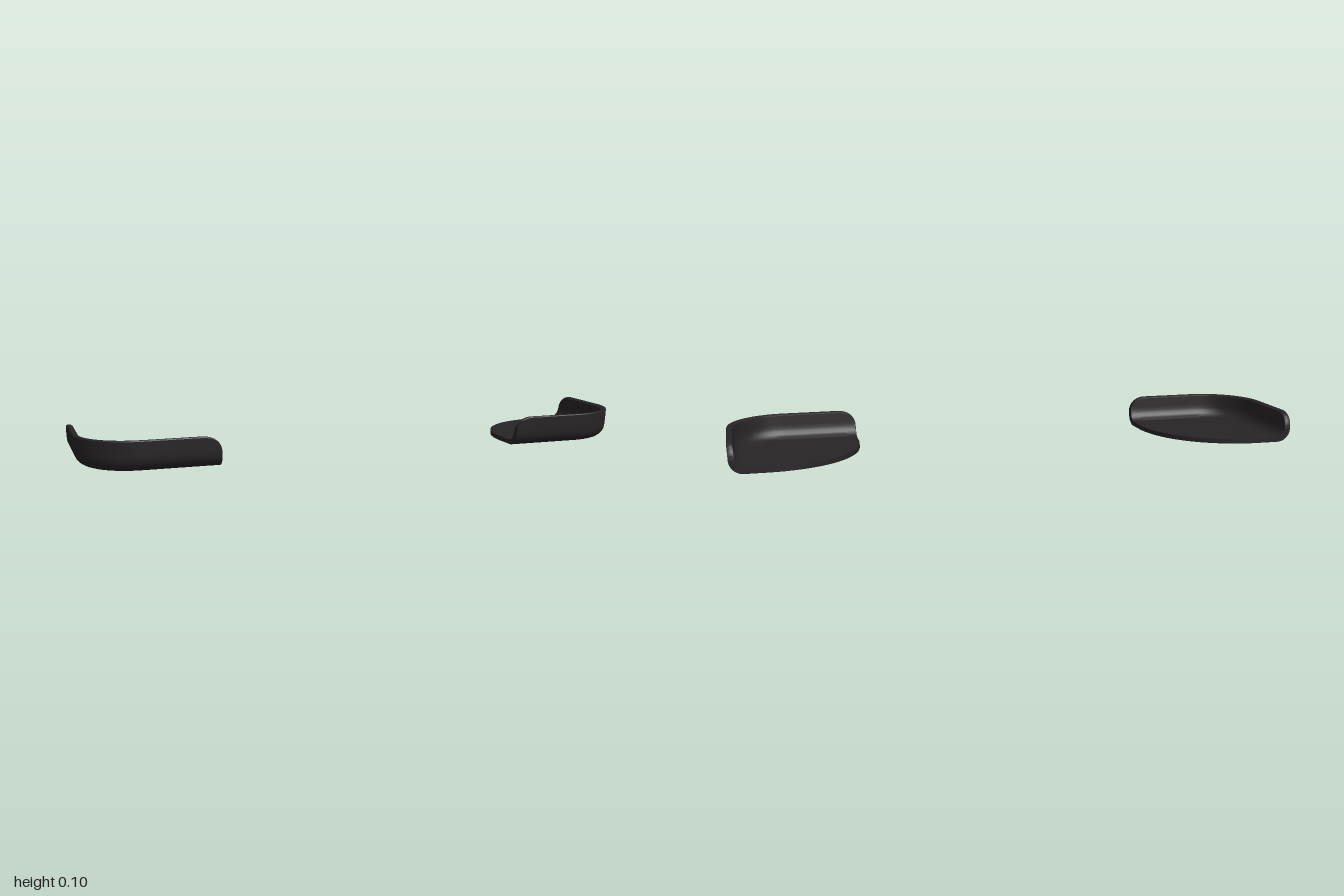
import * as THREE from 'three';
import { toCreasedNormals } from 'three/addons/utils/BufferGeometryUtils.js';

const WALL = 0.02, FLOOR = 0.016, TOP = 0.105, END = 0.05;
const STATIONS = 56, FLOOR_STEPS = 6, WALL_STEPS = 9;
const CENTRE = 0.77, HALF = 0.23, DEPTH = 0.228;

// Inward distance of a wall face at height y: slight lean plus a bottom fillet
function lean(y, r) {
  const k = Math.max(0, r - y);
  return 0.06 * Math.max(0, TOP - y) + r - Math.sqrt(r * r - k * k);
}

// Wall height: low and rounded at both ends
function wallHeight(distToEnd) {
  const k = 1 - Math.min(1, distToEnd / 0.065);
  return END + (TOP - END) * Math.pow(1 - Math.pow(k, 2.2), 1 / 2.2);
}

// Closed cross-section at one station: under the floor, up the wall, down inside
function section(h) {
  const outer = [], inner = [];
  for (let i = 0; i < FLOOR_STEPS; i++) {
    const t = i / FLOOR_STEPS;
    outer.push({ floor: t, d: lean(0, 0.045), y: 0 });
    inner.push({ floor: t, d: WALL + lean(0, 0.04), y: FLOOR });
  }
  for (let k = 0; k <= WALL_STEPS; k++) {
    const t = (k / WALL_STEPS) ** 2;
    const yo = (h - 0.003) * t, yi = FLOOR + (h - 0.005 - FLOOR) * t;
    outer.push({ floor: 1, d: lean(yo, 0.045), y: yo });
    inner.push({ floor: 1, d: WALL + lean(yi - FLOOR, 0.04) - 0.06 * FLOOR, y: yi });
  }
  const d = lean(h, 0.045);
  outer.push({ floor: 1, d: d + 0.003, y: h });
  inner.push({ floor: 1, d: d + WALL - 0.006, y: h });
  return outer.concat(inner.reverse());
}

function cornerGeometry(side) {
  // Outer edge in plan: front side, rounded corner, outer side
  const edge = new THREE.Path();
  edge.moveTo(-HALF, HALF);
  edge.lineTo(0.03, HALF);
  edge.absarc(0.03, 0.03, 0.2, Math.PI / 2, 0, true);
  edge.lineTo(HALF, -HALF);
  const length = edge.getLength();
  // Free edge of the floor: broad curve across the opposite corner
  const free = new THREE.CubicBezierCurve(
    new THREE.Vector2(-HALF, 0.11), new THREE.Vector2(-HALF, -0.09),
    new THREE.Vector2(-0.09, -HALF), new THREE.Vector2(0.11, -HALF));

  const pos = [], index = [];
  let n = 0;
  for (let j = 0; j <= STATIONS; j++) {
    const s = 0.5 - 0.5 * Math.cos(Math.PI * j / STATIONS);
    const p = edge.getPoint(s), t = edge.getTangent(s), q = free.getPointAt(s);
    const loop = section(wallHeight(Math.min(s, 1 - s) * length));
    n = loop.length;
    for (const c of loop) {
      const u = THREE.MathUtils.lerp(q.x, p.x + t.y * c.d, c.floor);
      const v = THREE.MathUtils.lerp(q.y, p.y - t.x * c.d, c.floor);
      pos.push(side * (CENTRE + u), c.y, v * DEPTH / HALF);
    }
  }
  const tri = (a, b, c) => (side > 0 ? index.push(a, b, c) : index.push(a, c, b));
  // Skin between stations
  for (let j = 0; j < STATIONS; j++) {
    for (let i = 0; i < n; i++) {
      const a = j * n + i, b = j * n + (i + 1) % n;
      tri(a, a + n, b);
      tri(b, a + n, b + n);
    }
  }
  // End caps
  const last = STATIONS * n;
  for (let i = 0; i < n / 2 - 1; i++) {
    const a = i, b = i + 1, c = n - 2 - i, d = n - 1 - i;
    tri(a, b, c);
    tri(a, c, d);
    tri(last + a, last + c, last + b);
    tri(last + a, last + d, last + c);
  }
  const g = new THREE.BufferGeometry();
  g.setAttribute('position', new THREE.Float32BufferAttribute(pos, 3));
  g.setIndex(index);
  return toCreasedNormals(g, 0.7);
}

export function createModel() {
  const group = new THREE.Group();
  group.name = 'cornerPieces';
  const material = new THREE.MeshStandardMaterial({ color: 0x272425 });
  for (const side of [1, -1]) {
    const mesh = new THREE.Mesh(cornerGeometry(side), material);
    mesh.name = side > 0 ? 'leftCornerPiece' : 'rightCornerPiece';
    group.add(mesh);
  }
  return group;
}
